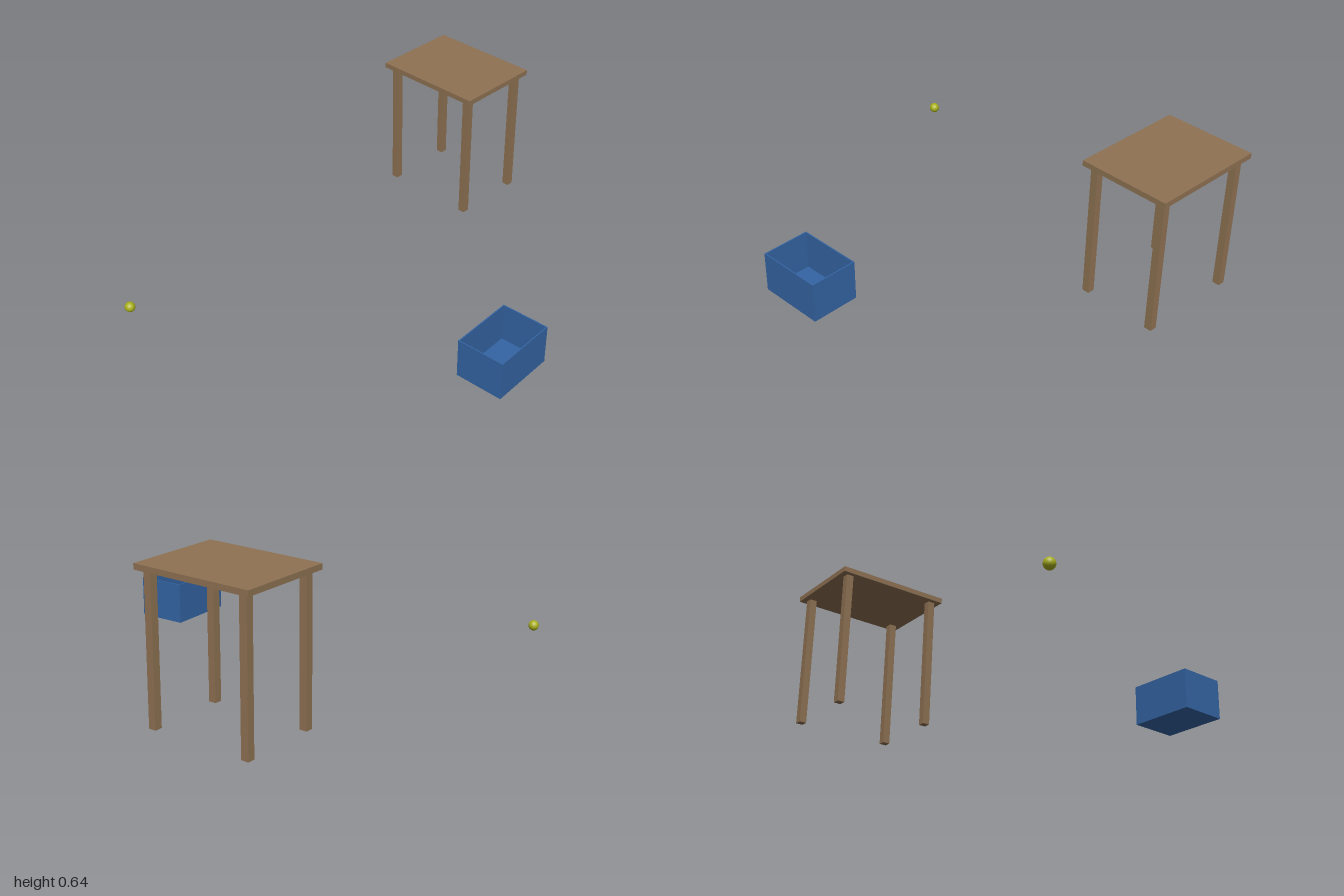
import * as THREE from 'three';

const FLOOR = 0.023; // underside of the table legs and the bin

const wood = new THREE.MeshStandardMaterial({ color: 0x8f7253 });
wood.name = 'wood brown';
const blue = new THREE.MeshStandardMaterial({ color: 0x3465a4 });
blue.name = 'bin blue';
const olive = new THREE.MeshStandardMaterial({ color: 0xa9b01c });
olive.name = 'ball olive';

function box(parent, name, material, w, h, d, x, y, z) {
  const mesh = new THREE.Mesh(new THREE.BoxGeometry(w, h, d), material);
  mesh.name = name;
  mesh.position.set(x, y, z);
  parent.add(mesh);
  return mesh;
}

// Table: thin top on four square legs
function createTable() {
  const table = new THREE.Group();
  table.name = 'table';
  const legH = 0.595, topH = 0.023;
  box(table, 'tableTop', wood, 0.4, topH, 0.515, 0, legH + topH / 2, 0);
  for (const sx of [-1, 1]) {
    for (const sz of [-1, 1]) {
      const name = (sz > 0 ? 'front' : 'back') + (sx > 0 ? 'Left' : 'Right') + 'Leg';
      box(table, name, wood, 0.032, legH, 0.032, sx * 0.162, legH / 2, sz * 0.2155);
    }
  }
  table.position.set(0.75, FLOOR, -0.536);
  table.rotation.y = THREE.MathUtils.degToRad(12);
  return table;
}

// Open bin: floor plate and four thin walls
function createBin() {
  const bin = new THREE.Group();
  bin.name = 'bin';
  const w = 0.296, h = 0.178, d = 0.215, t = 0.005;
  box(bin, 'binFloor', blue, w - 2 * t, t, d - 2 * t, 0, t / 2, 0);
  for (const s of [-1, 1]) {
    box(bin, s > 0 ? 'frontWall' : 'backWall', blue, w, h, t, 0, h / 2, s * (d - t) / 2);
    box(bin, s > 0 ? 'leftWall' : 'rightWall', blue, t, h, d - 2 * t, s * (w - t) / 2, h / 2, 0);
  }
  bin.position.set(0.092, FLOOR, 0.686);
  bin.rotation.y = THREE.MathUtils.degToRad(15);
  return bin;
}

export function createModel() {
  const model = new THREE.Group();
  model.name = 'tableBinAndBall';
  model.add(createTable(), createBin());

  // Small ball, centred at floor height
  const ball = new THREE.Mesh(new THREE.SphereGeometry(0.023, 32, 20), olive);
  ball.name = 'ball';
  ball.position.set(-0.977, FLOOR, -0.5);
  model.add(ball);
  return model;
}
